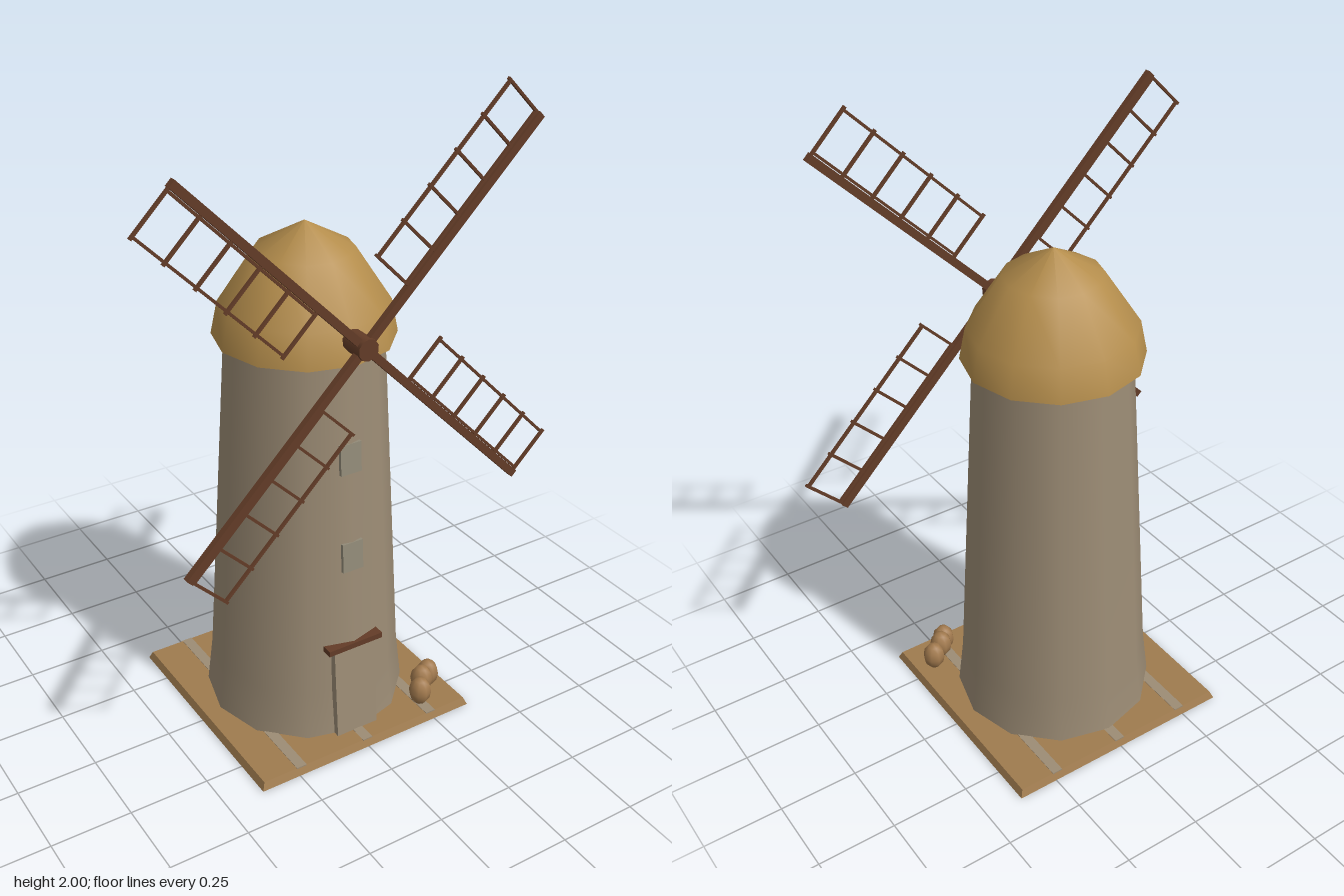
import * as THREE from 'three';

const mat = (name, color, side = THREE.FrontSide, flatShading = false) => {
  const m = new THREE.MeshStandardMaterial({ color, side, flatShading });
  m.name = name;
  return m;
};

export function createModel() {
  const stone = mat('stone', 0x9c8c75, THREE.DoubleSide);
  const windowGrey = mat('window grey', 0x938c79);
  const thatch = mat('thatch', 0xb48d4c, THREE.DoubleSide);
  const ground = mat('ground', 0x9f7b4e, THREE.FrontSide, true);
  const wood = mat('dark wood', 0x633c27);
  const sackCloth = mat('sack cloth', 0xa27a4e);

  const model = new THREE.Group();
  model.name = 'windmill';

  const add = (parent, name, geometry, material, x = 0, y = 0, z = 0) => {
    const mesh = new THREE.Mesh(geometry, material);
    mesh.name = name;
    mesh.position.set(x, y, z);
    parent.add(mesh);
    return mesh;
  };
  const box = (parent, name, size, material, x, y, z) =>
    add(parent, name, new THREE.BoxGeometry(...size), material, x, y, z);
  const lathe = (profile) =>
    new THREE.LatheGeometry(profile.map(([r, y]) => new THREE.Vector2(r, y)), 12);

  // Square base with bevelled sides and three paler strips
  const slab = new THREE.CylinderGeometry(0.37 * Math.SQRT2, 0.38 * Math.SQRT2, 0.024, 4);
  slab.rotateY(Math.PI / 4);
  add(model, 'base', slab, ground, 0, 0.013, 0);
  for (const x of [-0.24, 0, 0.24]) {
    box(model, 'baseStrip', [0.034, 0.004, 0.742], stone, x, 0.0245, 0);
  }

  // Tapered twelve-sided tower with a flared foot
  add(model, 'tower', lathe([[0.315, 0.02], [0.297, 0.18], [0.233, 1.28]]), stone);
  const floor = new THREE.CircleGeometry(0.31, 12);
  floor.rotateX(Math.PI / 2);
  add(model, 'towerFloor', floor, stone);

  // Domed cap with a closed underside
  add(model, 'cap', lathe([[0.27, 1.26], [0.25, 1.36], [0.145, 1.52], [0, 1.6]]), thatch);
  const lip = new THREE.RingGeometry(0.21, 0.27, 12);
  lip.rotateX(Math.PI / 2);
  add(model, 'capUnderside', lip, thatch, 0, 1.26, 0);

  // Door and lintel, leaning with the wall
  box(model, 'door', [0.145, 0.305, 0.03], stone, 0, 0.175, 0.287).rotation.x = -0.08;
  box(model, 'lintel', [0.19, 0.018, 0.036], wood, 0, 0.335, 0.279);

  // Two windows with narrow sills
  for (const [y, z] of [[0.96, 0.25], [0.64, 0.269]]) {
    const win = new THREE.Group();
    win.name = 'window';
    win.position.set(0, y, z);
    win.rotation.x = -0.058;
    box(win, 'pane', [0.07, 0.095, 0.03], windowGrey, 0, 0, -0.012);
    model.add(win);
  }

  // Shaft and hub
  const shaft = new THREE.CylinderGeometry(0.033, 0.033, 0.12, 10);
  shaft.rotateX(Math.PI / 2);
  add(model, 'hub', shaft, wood, 0, 1.33, 0.268);

  // Four lattice sails, each built along +x and turned about the hub
  const sails = new THREE.Group();
  sails.name = 'sails';
  sails.position.set(0, 1.33, 0.306);
  model.add(sails);
  for (let i = 0; i < 4; i++) {
    const sail = new THREE.Group();
    sail.name = 'sail';
    sail.rotation.z = Math.PI / 4 + (i * Math.PI) / 2;
    box(sail, 'spar', [0.79, 0.024, 0.02], wood, 0.395, 0, 0);
    for (const v of [0.018, 0.153]) {
      box(sail, 'rail', [0.585, 0.008, 0.009], wood, 0.495, v, 0);
    }
    for (let r = 0; r < 6; r++) {
      box(sail, 'rung', [0.008, 0.165, 0.009], wood, 0.205 + r * 0.116, 0.08, 0);
    }
    sails.add(sail);
  }

  // Small heap of sacks beside the door
  for (const [x, y, z] of [[0.24, 0.07, 0.312], [0.27, 0.083, 0.277], [0.312, 0.072, 0.252]]) {
    const sack = add(model, 'sack', new THREE.SphereGeometry(0.036, 8, 6), sackCloth, x, y, z);
    sack.scale.y = 1.32;
  }

  return model;
}
